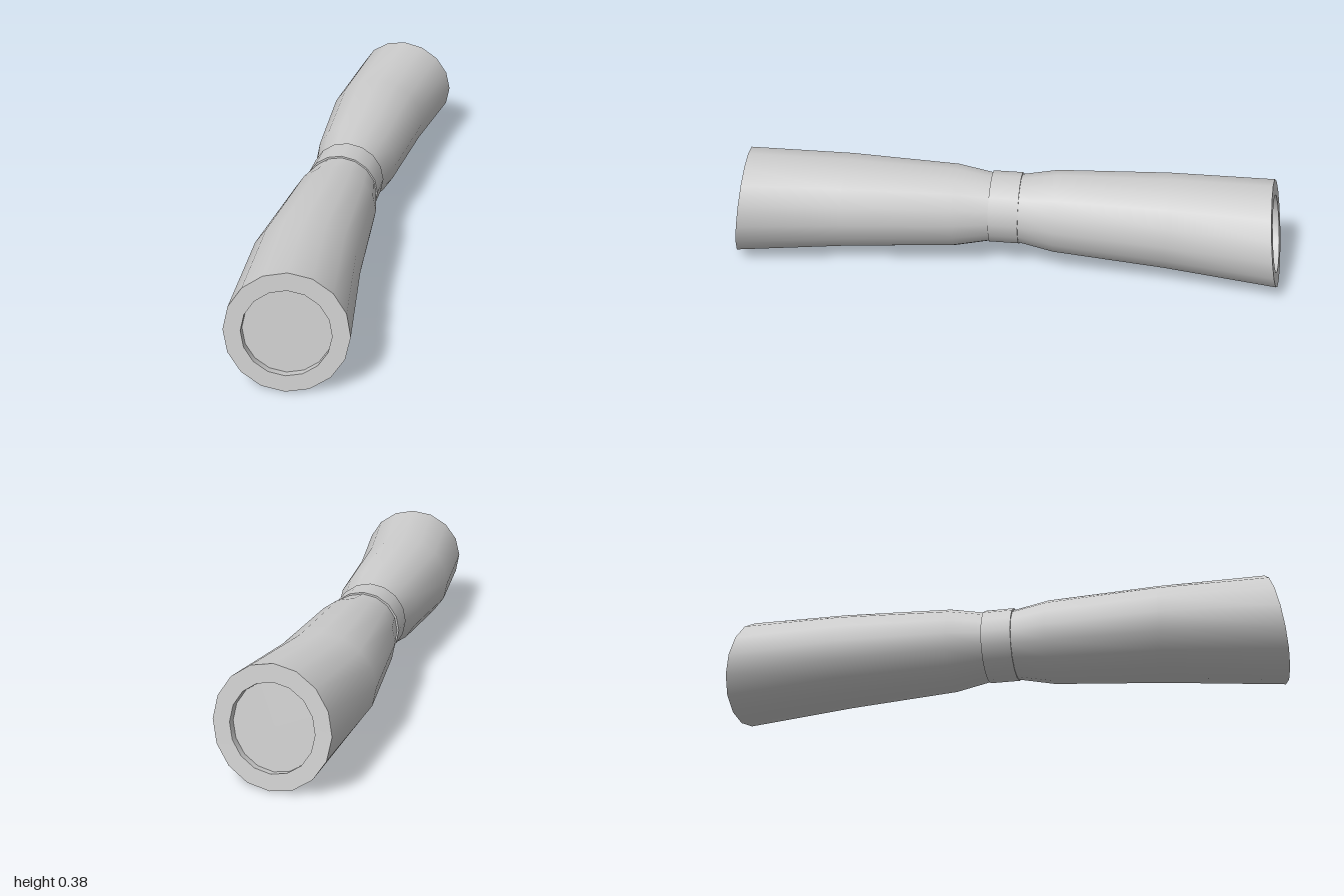
import * as THREE from 'three';
import { toCreasedNormals } from 'three/addons/utils/BufferGeometryUtils.js';

const SIDES = 16;
const TILT_X = 0.11, TILT_Y = 0.16; // slope of the slanted end faces

// One half, from the waist to the end floor: [cx, cy, z, rx, ry, slanted]
const HALF = [
  [-0.028, 0.204, 0.05, 0.125, 0.125, 0],
  [-0.027, 0.203, 0.18, 0.15, 0.15, 0],
  [-0.028, 0.195, 0.575, 0.182, 0.169, 0],
  [0.0125, 0.1945, 0.963, 0.1925, 0.1925, 1], // outer lip
  [0.0115, 0.1925, 0.963, 0.138, 0.138, 1],   // inner lip
  [0.009, 0.1885, 0.938, 0.138, 0.138, 1],    // recessed floor
  [0.009, 0.1885, 0.938, 0, 0, 1],
];

function ringPoints([cx, cy, cz, rx, ry, slanted], mirror) {
  return Array.from({ length: SIDES }, (_, j) => {
    const t = (j / SIDES) * Math.PI * 2;
    const dx = Math.cos(t) * rx, dy = Math.sin(t) * ry;
    const z = cz - slanted * (TILT_X * dx + TILT_Y * dy);
    return [cx + dx, cy + dy, z * mirror];
  });
}

// Skin neighbouring rings; zero-radius rings close the ends
function loft(rings, closedStart, closedEnd) {
  const pos = [];
  for (let i = 0; i < rings.length - 1; i++) {
    for (let j = 0; j < SIDES; j++) {
      const k = (j + 1) % SIDES;
      const a = rings[i][j], b = rings[i][k], c = rings[i + 1][k], d = rings[i + 1][j];
      if (!(closedStart && i === 0)) pos.push(...a, ...b, ...c);
      else { pos.push(...a, ...c, ...d); continue; }
      if (!(closedEnd && i === rings.length - 2)) pos.push(...a, ...c, ...d);
    }
  }
  const g = new THREE.BufferGeometry();
  g.setAttribute('position', new THREE.Float32BufferAttribute(pos, 3));
  return toCreasedNormals(g, 0.7);
}

export function createModel() {
  const group = new THREE.Group();
  group.name = 'pinchedTube';
  const material = new THREE.MeshStandardMaterial({ color: 0xcccccc });

  // Bent tube with mirrored halves and recessed ends
  const rings = [
    ...HALF.map((r) => ringPoints(r, -1)).reverse(),
    ...HALF.map((r) => ringPoints(r, 1)),
  ];
  const body = new THREE.Mesh(loft(rings, true, true), material);
  body.name = 'tubeBody';
  group.add(body);

  // Band around the waist
  const bandGeometry = new THREE.CylinderGeometry(0.131, 0.131, 0.106, SIDES);
  bandGeometry.rotateX(Math.PI / 2);
  const band = new THREE.Mesh(bandGeometry, material);
  band.name = 'waistBand';
  band.position.set(-0.029, 0.205, 0);
  group.add(band);

  return group;
}
